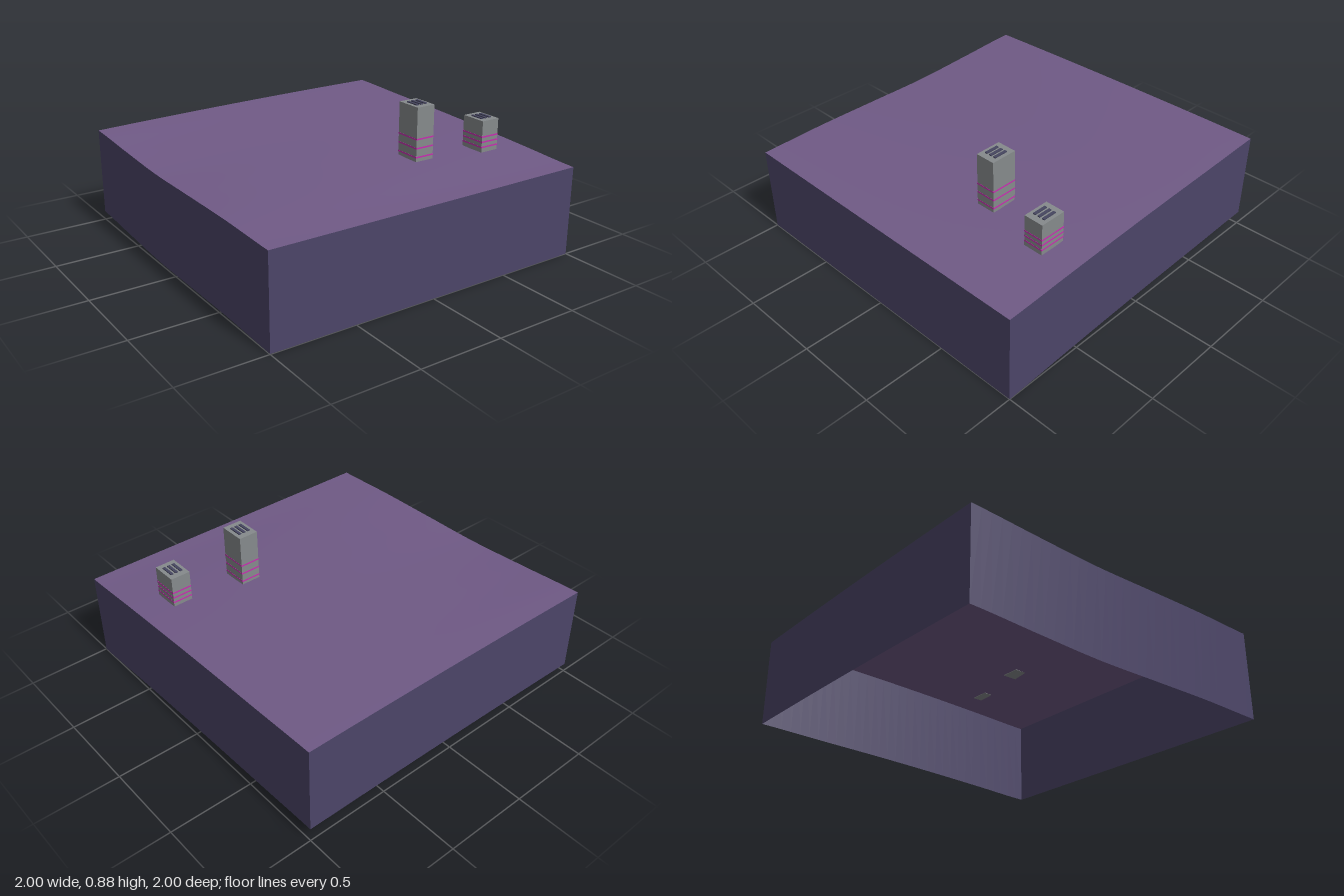
import * as THREE from 'three';

const mat = (name, color, side = THREE.FrontSide) => {
  const m = new THREE.MeshStandardMaterial({ color, side });
  m.name = name;
  return m;
};

// Ground height: eased blend between the profiles of the left and right edges
const profile = (...ys) => {
  const step = 2 / (ys.length - 1);
  const pts = ys.map((y, i) => new THREE.Vector2(-1 + i * step, y));
  const curve = new THREE.SplineCurve(pts);
  return z => curve.getPoint((z + 1) / 2).y;
};
const lowEdge = profile(0.587, 0.565, 0.546, 0.546, 0.546, 0.536);
const highEdge = profile(0.617, 0.604, 0.592, 0.576, 0.556, 0.534);
function height(x, z) {
  const u = (x + 1) / 2;
  const s = 1 - (1 - u) ** 2;
  return THREE.MathUtils.lerp(lowEdge(z), highEdge(z), s);
}

const N = 32, DEPTH = 0.532;

// Sloping ground surface
function makeGround(material) {
  const geo = new THREE.PlaneGeometry(2, 2, N, N).rotateX(-Math.PI / 2);
  const p = geo.attributes.position;
  for (let i = 0; i < p.count; i++) p.setY(i, height(p.getX(i), p.getZ(i)));
  geo.computeVertexNormals();
  const mesh = new THREE.Mesh(geo, material);
  mesh.name = 'ground';
  return mesh;
}

// One skirt wall whose upper and lower rims both follow the ground
function makeWall(name, angle, material) {
  const geo = new THREE.PlaneGeometry(2, 1, N, 1).translate(0, 0, 1).rotateY(angle);
  const p = geo.attributes.position;
  for (let i = 0; i < p.count; i++) {
    const top = height(p.getX(i), p.getZ(i));
    p.setY(i, p.getY(i) > 0 ? top : Math.max(0, top - DEPTH));
  }
  geo.computeVertexNormals();
  const mesh = new THREE.Mesh(geo, material);
  mesh.name = name;
  return mesh;
}

function addBox(group, name, material, size, pos) {
  const mesh = new THREE.Mesh(new THREE.BoxGeometry(...size), material);
  mesh.position.set(...pos);
  mesh.name = name;
  group.add(mesh);
}

// Tower with glowing bands and three roof vents
function makeTower(name, x, z, base, top, bands, mats) {
  const g = new THREE.Group();
  g.name = name;
  g.position.set(x, 0, z);
  addBox(g, 'towerBody', mats.concrete, [0.12, top - base, 0.16], [0, (top + base) / 2, 0]);
  for (const y of bands) addBox(g, 'lightBand', mats.neon, [0.122, 0.009, 0.162], [0, y, 0]);
  for (const dx of [-0.03, 0, 0.03]) {
    addBox(g, 'roofVent', mats.vent, [0.016, 0.008, 0.085], [dx, top + 0.002, 0]);
  }
  return g;
}

export function createModel() {
  const model = new THREE.Group();
  model.name = 'terrainWithTowers';
  const ground = mat('purpleGround', 0x705a86, THREE.DoubleSide);
  const wall = mat('darkViolet', 0x4c4568, THREE.DoubleSide);
  const mats = {
    concrete: mat('concreteGrey', 0x868a8c),
    neon: mat('magentaLight', 0xc62fb0),
    vent: mat('ventSlate', 0x464660),
  };

  model.add(makeGround(ground));
  ['frontWall', 'leftWall', 'backWall', 'rightWall'].forEach((name, i) =>
    model.add(makeWall(name, i * Math.PI / 2, wall)));

  model.add(makeTower('tallTower', 0.33, 0.42, 0.563, 0.88, [0.695, 0.642, 0.589], mats));
  model.add(makeTower('shortTower', 0.75, 0.5, 0.562, 0.75, [0.655, 0.624, 0.593], mats));
  return model;
}
